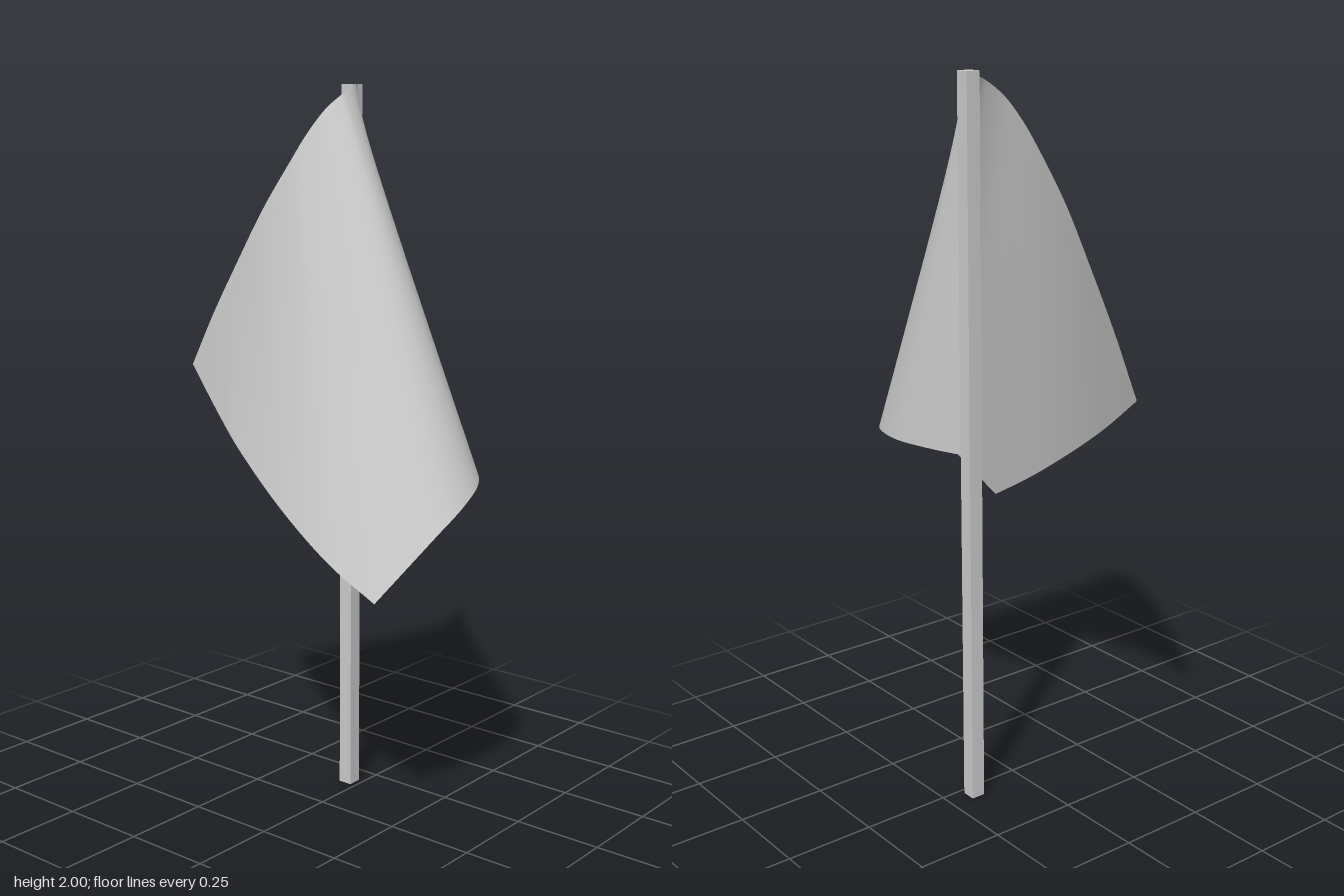
import * as THREE from 'three';

const curve = (pts) => new THREE.CatmullRomCurve3(pts.map((p) => new THREE.Vector3(...p)));

// Cloth as straight rulings between two edges: [start on top edge, end on bottom or fly edge]
const rulings = [
  [[0.167, 2, -0.016], [0.167, 1, -0.016]],
  [[0.163, 2, -0.016], [0.203, 1, 0.09]],
  [[0.155, 1.997, -0.015], [0.229, 1, 0.23]],
  [[0.135, 1.99, -0.013], [0.19, 0.995, 0.365]],
  [[0.115, 1.982, -0.012], [0.1, 0.98, 0.445]],
  [[0.095, 1.972, -0.012], [0, 0.94, 0.468]],
  [[0.055, 1.935, -0.034], [-0.1, 0.87, 0.447]],
  [[0.022, 1.87, -0.072], [-0.215, 0.71, 0.35]], // lower free corner
  [[0, 1.8, -0.11], [-0.232, 0.79, 0.22]],
  [[-0.018, 1.67, -0.195], [-0.214, 0.9, 0.045]],
  [[-0.021, 1.505, -0.3], [-0.155, 1.03, -0.165]],
  [[-0.02, 1.37, -0.385], [-0.1, 1.11, -0.295]],
  [[-0.018, 1.22, -0.47], [-0.018, 1.22, -0.47]], // upper free corner
];
const CORNER = 7;
const LAST = rulings.length - 1;

function clothGeometry() {
  const top = curve(rulings.map((r) => r[0]));
  const bottom = curve(rulings.slice(0, CORNER + 1).map((r) => r[1]));
  const fly = curve(rulings.slice(CORNER).map((r) => r[1]));
  const geo = new THREE.PlaneGeometry(1, 1, LAST * 6, 14);
  const pos = geo.attributes.position;
  const uv = geo.attributes.uv;
  for (let i = 0; i < pos.count; i++) {
    const s = uv.getX(i) * LAST;
    const a = top.getPoint(s / LAST);
    const b = s <= CORNER
      ? bottom.getPoint(s / CORNER)
      : fly.getPoint(Math.min(1, (s - CORNER) / (LAST - CORNER)));
    a.lerp(b, 1 - uv.getY(i));
    pos.setXYZ(i, a.x, a.y, a.z);
  }
  geo.computeVertexNormals();
  return geo;
}

export function createModel() {
  const group = new THREE.Group();
  group.name = 'flag';

  // Square pole
  const pole = new THREE.Mesh(
    new THREE.BoxGeometry(0.04, 2, 0.04),
    new THREE.MeshStandardMaterial({ color: 0xcccccc })
  );
  pole.name = 'pole';
  pole.position.set(0.167, 1, -0.036);
  group.add(pole);

  // Curled cloth hanging from the pole
  const cloth = new THREE.Mesh(
    clothGeometry(),
    new THREE.MeshStandardMaterial({ color: 0xcccccc, side: THREE.DoubleSide })
  );
  cloth.name = 'cloth';
  group.add(cloth);

  return group;
}
